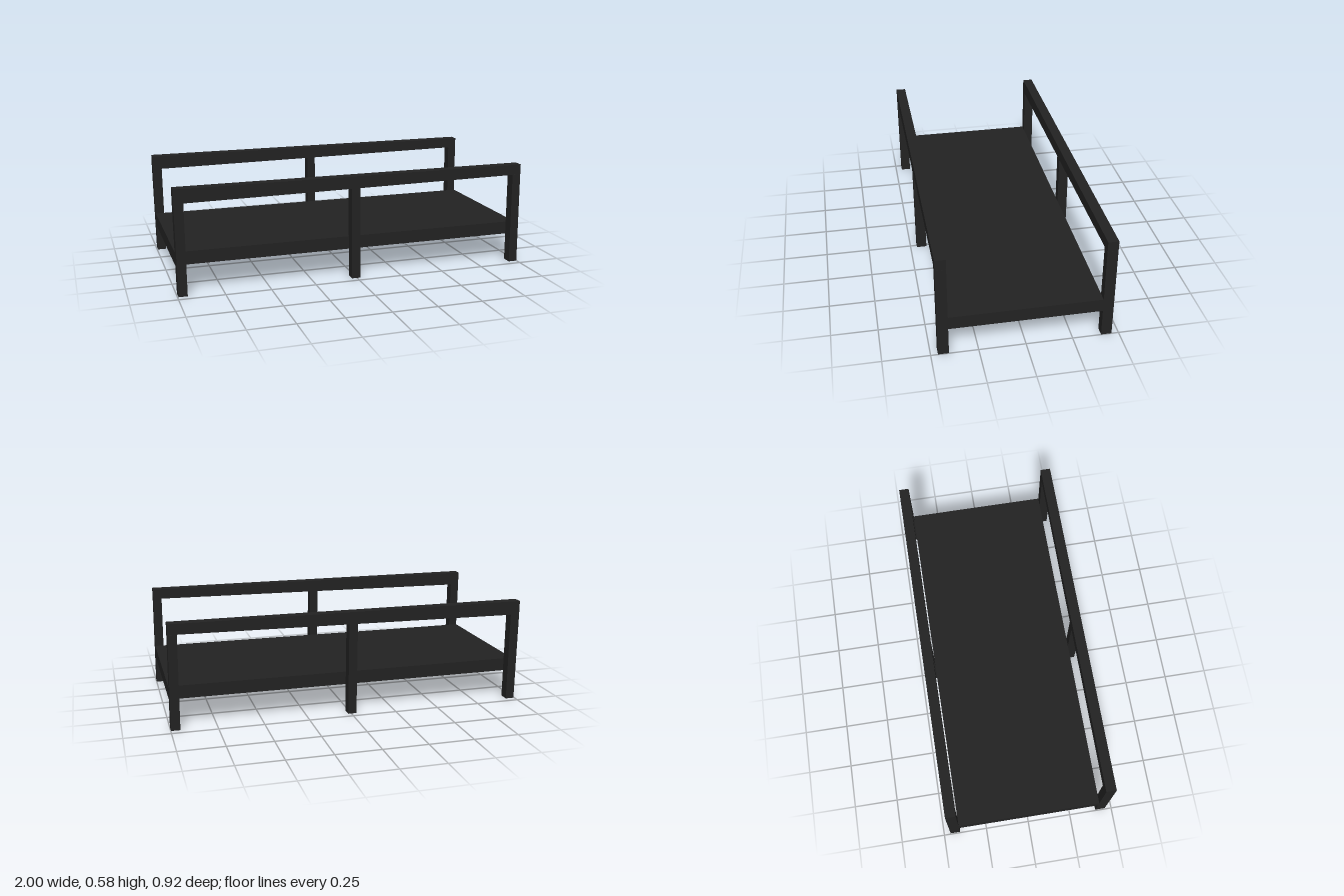
import * as THREE from 'three';

const DECK_Z = 0.405; // inner face of each side frame
const FRAME_DEPTH = 0.057;

// Extrudes a flat outline in the xy plane along z
function slab(name, points, z, depth, material) {
  const shape = new THREE.Shape(points.map(([x, y]) => new THREE.Vector2(x, y)));
  const geometry = new THREE.ExtrudeGeometry(shape, { depth, bevelEnabled: false });
  const mesh = new THREE.Mesh(geometry, material);
  mesh.name = name;
  mesh.position.z = z;
  return mesh;
}

export function createModel() {
  const model = new THREE.Group();
  model.name = 'railedPlatform';
  const black = new THREE.MeshStandardMaterial({ color: 0x222222 });
  black.name = 'black';

  // Deck between the two side frames
  const deck = new THREE.Mesh(new THREE.BoxGeometry(1.994, 0.073, DECK_Z * 2), black);
  deck.name = 'deck';
  deck.position.y = 0.1935;
  model.add(deck);

  // Side frames: slightly leaning posts under a tapering top rail
  // each post: left x at top, right x at top, left x at foot, right x at foot, top y
  const posts = [
    [-1, -0.948, -0.995, -0.946, 0.507],
    [-0.034, 0.015, -0.029, 0.019, 0.516],
    [0.944, 0.993, 0.949, 0.999, 0.524],
  ];
  for (const [side, z] of [['front', DECK_Z], ['back', -DECK_Z - FRAME_DEPTH]]) {
    const frame = new THREE.Group();
    frame.name = side + 'Frame';
    const rail = [[-1, 0.505], [0.993, 0.525], [0.993, 0.583], [-1, 0.583]];
    frame.add(slab('topRail', rail, z, FRAME_DEPTH, black));
    posts.forEach(([tl, tr, bl, br, top], i) => {
      const outline = [[bl, 0], [br, 0], [tr, top], [tl, top]];
      frame.add(slab('post' + (i + 1), outline, z, FRAME_DEPTH, black));
    });
    model.add(frame);
  }
  return model;
}
